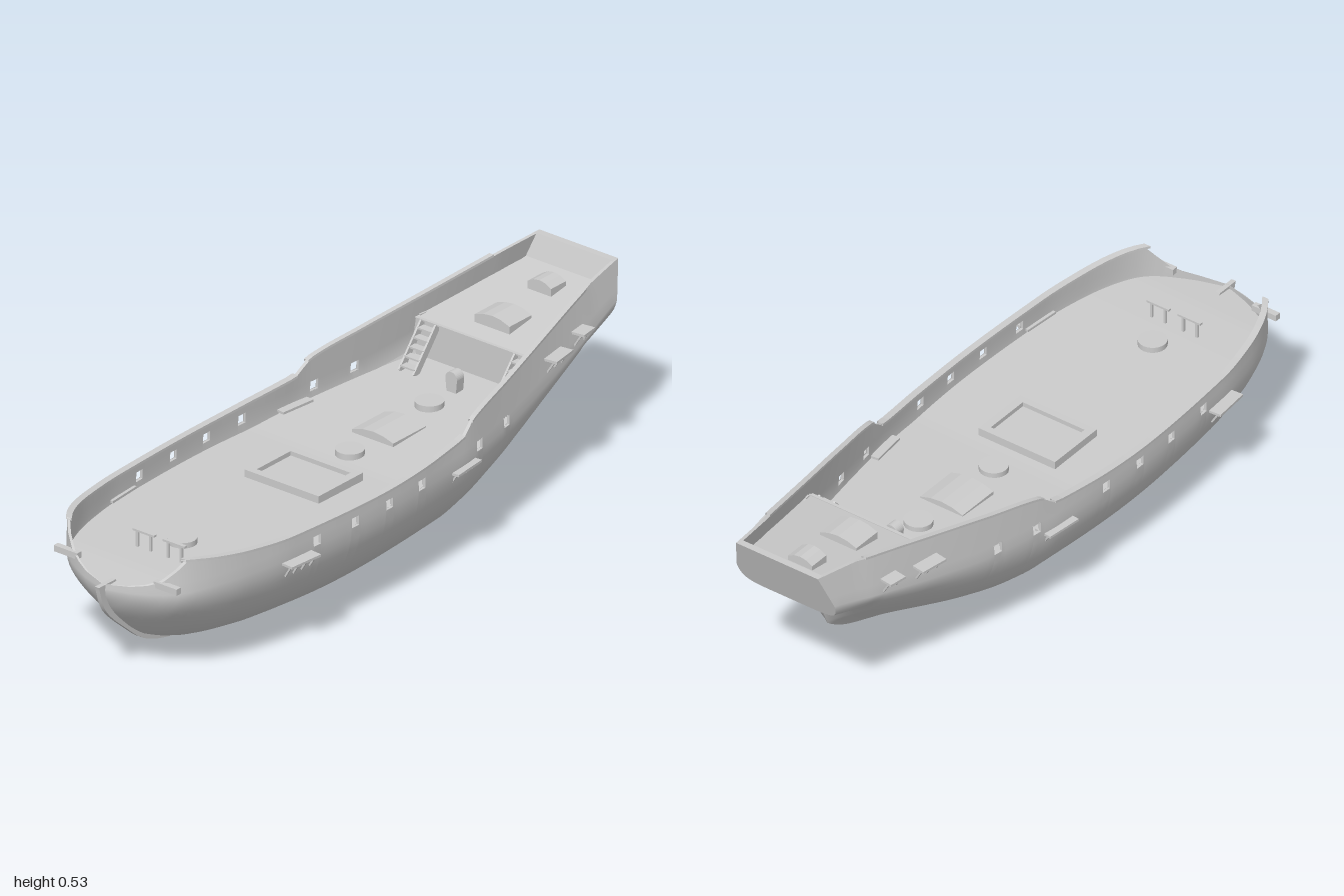
import * as THREE from 'three';

const grey = new THREE.MeshStandardMaterial({ color: 0xcccccc, side: THREE.DoubleSide });
const { lerp, clamp } = THREE.MathUtils;

// Hull lines, bow to stern: z, keel height, beam, height of beam, rail height
const lines = [
  [0.975, 0.245, 0.003, 0.266, 0.28], [0.96, 0.215, 0.062, 0.268, 0.285], [0.93, 0.175, 0.128, 0.27, 0.298],
  [0.9, 0.145, 0.18, 0.275, 0.328], [0.88, 0.125, 0.204, 0.28, 0.373], [0.8, 0.068, 0.25, 0.29, 0.367],
  [0.7, 0.034, 0.28, 0.293, 0.358], [0.55, 0.016, 0.304, 0.295, 0.35], [0.2, 0.002, 0.319, 0.295, 0.346],
  [-0.16, 0.01, 0.3, 0.298, 0.363], [-0.22, 0.016, 0.292, 0.301, 0.4], [-0.4, 0.05, 0.263, 0.312, 0.433],
  [-0.6, 0.11, 0.227, 0.345, 0.468], [-0.78, 0.2, 0.195, 0.385, 0.5], [-0.81, 0.28, 0.19, 0.392, 0.505],
  [-0.85, 0.322, 0.182, 0.402, 0.513], [-0.94, 0.372, 0.162, 0.43, 0.53],
];
// Section form: z, hollow, fullness
const forms = [[0.975, 1.1, 0.65], [0.8, 1.05, 0.75], [0.3, 1, 0.89], [-0.2, 1, 0.86], [-0.78, 1.6, 0.6], [-0.84, 1, 1], [-0.94, 0.65, 2]];

// Monotone smooth interpolation of one column of a table
function column(S, z, c) {
  const n = S.length;
  z = clamp(z, S[n - 1][0], S[0][0]);
  let i = 0;
  while (i < n - 2 && z < S[i + 1][0]) i++;
  const slope = j => (j < 0 || j > n - 2) ? 0 : (S[j + 1][c] - S[j][c]) / (S[j + 1][0] - S[j][0]);
  const tangent = (a, b) => (a * b > 0 ? 2 * a * b / (a + b) : 0);
  const d = slope(i), h = S[i + 1][0] - S[i][0], t = (z - S[i][0]) / h, t2 = t * t, t3 = t2 * t;
  const m0 = i === 0 ? d : tangent(slope(i - 1), d);
  const m1 = i === n - 2 ? d : tangent(d, slope(i + 1));
  return (2 * t3 - 3 * t2 + 1) * S[i][c] + (t3 - 2 * t2 + t) * h * m0 + (3 * t2 - 2 * t3) * S[i + 1][c] + (t3 - t2) * h * m1;
}
// The topsides lean inward more and more towards the stern
function section(z) {
  const [k, B, yB, yT] = [1, 2, 3, 4].map(c => column(lines, z, c));
  const [p, q] = [1, 2].map(c => column(forms, z, c));
  const T = Math.max(0.002, B - 0.003 - 0.024 * clamp(-z / 0.94, 0, 1));
  return { k, B, yB, T, yT, p, q, yP: yB + Math.min(0.03, (yT - yB) * 0.55) };
}
// Half width of the hull at a height
function hullX(z, y) {
  const s = section(z);
  if (y >= s.yB) return lerp(s.B, s.T, clamp((y - s.yB) / (s.yT - s.yB), 0, 1));
  const u = clamp((y - s.k) / (s.yB - s.k), 0, 1) ** (1 / s.q);
  return s.B * (1 - (1 - u) ** 2) ** (s.p / 2);
}
// Stern sections lean aft to meet the raked transom
const rake = (z, y) => z - clamp((-0.86 - z) / 0.08, 0, 1) * Math.max(0, y - 0.372) * 0.375;
const deckY = z => (z > 0 ? lerp(0.272, 0.279, Math.min(z / 0.7, 1)) - Math.max(0, z - 0.85) * 0.06 : lerp(0.272, 0.3, z / -0.58));
const afterY = z => lerp(0.41, 0.467, (-0.58 - z) / 0.38);

const ports = [0.46, 0.31, 0.17, 0.03, -0.24, -0.38];
const zList = Array.from({ length: 96 }, (_, i) => 0.974 - i * 1.914 / 95);
ports.forEach(p => zList.push(p - 0.015, p + 0.015));
zList.sort((a, b) => b - a);
const inPort = z => ports.some(p => Math.abs(z - p) < 0.015);

export function createModel() {
  const ship = new THREE.Group();
  ship.name = 'ship';

  function add(name, geo, x = 0, y = 0, z = 0, parent = ship) {
    const mesh = new THREE.Mesh(geo, grey);
    mesh.name = name;
    mesh.position.set(x, y, z);
    parent.add(mesh);
    return mesh;
  }
  const box = (name, w, h, d, x, y, z, parent) => add(name, new THREE.BoxGeometry(w, h, d), x, y, z, parent);

  // Surface through rows of [x, y, z] points
  function surface(name, rows, { flip = false, flat = false, skip = () => false } = {}) {
    const n = rows[0].length, index = [];
    for (let i = 0; i < rows.length - 1; i++) for (let j = 0; j < n - 1; j++) {
      if (skip(i, j)) continue;
      const a = i * n + j, b = a + 1, c = a + n, d = c + 1;
      index.push(...(flip ? [a, c, b, b, c, d] : [a, b, c, b, d, c]));
    }
    let geo = new THREE.BufferGeometry();
    geo.setAttribute('position', new THREE.Float32BufferAttribute(rows.flat(2), 3));
    geo.setIndex(index);
    if (flat) geo = geo.toNonIndexed();
    geo.computeVertexNormals();
    add(name, geo);
  }

  const N = 12;
  const outer = (z, side) => {
    const s = section(z), pts = [];
    for (let j = 0; j <= N; j++) {
      const t = j / N * Math.PI / 2;
      pts.push([s.B * Math.sin(t) ** s.p, s.k + (s.yB - s.k) * (1 - Math.cos(t)) ** s.q]);
    }
    for (const y of [s.yP, (s.yP + s.yT) / 2, s.yT]) pts.push([hullX(z, y), y]);
    return pts.map(([x, y]) => [side * x, y, rake(z, y)]);
  };
  const inner = (z, side) => {
    const s = section(z);
    return [Math.max(Math.min(deckY(z), s.yB), s.yB - 0.025), s.yB + 0.0005, s.yP, s.yT]
      .map(y => [side * Math.max(0.001, hullX(z, y) - 0.01), y, rake(z, y)]);
  };
  const edge = (z, side) => {
    const { T, yT } = section(z);
    return [T, Math.max(0.001, T - 0.01)].map(x => [side * x, yT, rake(z, yT)]);
  };
  const cap = (z, side) => {
    const { T, yT } = section(z), inset = z > -0.2 ? -0.016 : -0.011;
    return [[inset, -0.001], [0.004, -0.001], [0.004, 0.006], [inset, 0.006], [inset, -0.001]]
      .map(([dx, dy]) => [side * (T + dx), yT + dy, z]);
  };

  for (const side of [1, -1]) {
    const flip = side < 0;
    const hole = row => (i, j) => j === row && inPort((zList[i] + zList[i + 1]) / 2);
    surface('hullSide', zList.map(z => outer(z, side)), { flip: !flip, skip: hole(N) });
    surface('bulwarkInside', zList.map(z => inner(z, side)), { flip, skip: hole(1) });
    surface('bulwarkTop', zList.map(z => edge(z, side)), { flip: !flip });
    for (const [z0, z1] of [[0.88, -0.17], [-0.21, -0.83]]) {
      const rows = Array.from({ length: 41 }, (_, i) => cap(lerp(z0, z1, i / 40), side));
      surface('rail', rows, { flip: !flip, flat: true });
    }

    // Gun port linings
    for (const z of ports) {
      const { yB, yP } = section(z), h = (yP - yB) / 2;
      const rect = (s, w, e) => s.moveTo(-w, -e).lineTo(w, -e).lineTo(w, e).lineTo(-w, e).closePath();
      const shape = rect(new THREE.Shape(), 0.0158, h + 0.0008);
      shape.holes.push(rect(new THREE.Path(), 0.0148, h - 0.0002));
      const geo = new THREE.ExtrudeGeometry(shape, { depth: 0.008, bevelEnabled: false }).translate(0, 0, -0.004);
      const lining = add('gunPort', geo, side * (hullX(z, yB + h) - 0.005), yB + h, z);
      lining.rotation.y = Math.PI / 2 + side * Math.atan2(hullX(z + 0.015, yB + h) - hullX(z - 0.015, yB + h), 0.03);
    }

    // Channels with their sloping stays: z, y, length, stays, offset
    for (const [z, y, len, count, out] of [[0.54, 0.287, 0.11, 4, 0.008], [-0.16, 0.287, 0.11, 4, -0.008], [-0.635, 0.412, 0.085, 3, 0.012], [-0.765, 0.428, 0.055, 2, 0.012]]) {
      const group = new THREE.Group();
      group.name = 'channel';
      group.position.set(side * (hullX(z, y) + out), y, z);
      group.rotation.y = side * Math.atan2(hullX(z + len / 2, y) - hullX(z - len / 2, y), len);
      ship.add(group);
      box('channelBoard', 0.055, 0.007, len, 0, 0, 0, group);
      for (let i = 0; i < count; i++) {
        const stay = box('channelStay', 0.005, 0.045, 0.005, side * 0.006, -0.018, lerp(-0.42, 0.42, i / (count - 1)) * len, group);
        stay.rotation.z = -side * 0.55;
      }
    }

    // Cathead beams at the bow
    box('cathead', 0.08, 0.018, 0.018, side * 0.17, 0.301, 0.915);

    // Pin rails on the foredeck
    box('pinRail', 0.074, 0.006, 0.01, side * 0.052, 0.327, 0.74);
    for (const x of [0.03, 0.075]) box('pinRailPost', 0.007, 0.05, 0.007, side * x, 0.301, 0.74);

    // Ladders to the after deck
    const ladder = new THREE.Group();
    ladder.name = 'ladder';
    ladder.position.set(side * 0.16, 0.35, -0.53);
    ship.add(ladder);
    for (const x of [-0.025, 0.025]) box('ladderSide', 0.006, 0.145, 0.022, x, 0, 0, ladder).rotation.x = -0.69;
    for (let i = 0; i < 5; i++) box('ladderStep', 0.05, 0.005, 0.024, 0, -0.04 + i * 0.021, 0.036 - i * 0.0176, ladder);
  }

  // Decks
  const deckRow = (z, y) => {
    const x = Math.max(0.001, hullX(z, y) - 0.008);
    return [-1, 0, 1].map(f => [f * x, y, z]);
  };
  const strip = (z0, z1, n, y) => Array.from({ length: n + 1 }, (_, i) => {
    const z = lerp(z0, z1, i / n);
    return deckRow(z, y(z));
  });
  surface('mainDeck', strip(0.97, -0.585, 60, deckY));
  surface('afterDeck', strip(-0.575, -0.965, 16, afterY));
  surface('bulkhead', [0.41, 0.35, 0.295].map(y => deckRow(-0.58, y)), { flip: true });
  box('deckBeam', 0.41, 0.004, 0.01, 0, 0.41, -0.577);

  // Transom: outer face, inner face and top edge
  const rim = outer(-0.94, 1);
  const across = dz => rim.map(([x, y, z]) => [[-x, y, z + dz], [x, y, z + dz]]);
  surface('transom', across(0), { flip: true, flat: true });
  surface('transomInside', across(0.02).slice(N), { flat: true });
  surface('transomTop', [across(0.02).at(-1), across(0).at(-1)]);

  // Stem post following the curve of the bow
  const stem = new THREE.Shape();
  stem.moveTo(0.93, 0.28).lineTo(1, 0.28);
  stem.splineThru([[0.97, 0.2], [0.89, 0.122], [0.8, 0.056], [0.67, 0.022], [0.46, 0.005], [0.1, 0]].map(p => new THREE.Vector2(...p)));
  stem.lineTo(0.1, 0.012).lineTo(0.46, 0.025).lineTo(0.67, 0.045).lineTo(0.8, 0.09).lineTo(0.89, 0.17);
  const stemGeo = new THREE.ExtrudeGeometry(stem, { depth: 0.014, bevelEnabled: false, curveSegments: 24 });
  add('stemPost', stemGeo.translate(0, 0, -0.007)).rotation.y = -Math.PI / 2;

  // Mast collars
  for (const z of [0.645, -0.05, -0.38]) add('mastCollar', new THREE.CylinderGeometry(0.04, 0.04, 0.02, 20), 0, deckY(z) + 0.006, z);

  // Cargo hatch coaming with a recessed cover
  for (const s of [1, -1]) {
    box('hatchCoaming', 0.254, 0.03, 0.022, 0, 0.281, 0.142 + s * 0.081);
    box('hatchCoaming', 0.025, 0.03, 0.14, s * 0.1145, 0.281, 0.142);
  }
  box('hatchCover', 0.21, 0.016, 0.15, 0, 0.275, 0.142);

  // Hatches with an arched top: half width, depth, z, base
  for (const [w, d, z, y] of [[0.07, 0.135, -0.212, 0.259], [0.06, 0.092, -0.685, 0.411], [0.04, 0.062, -0.867, 0.441]]) {
    const s = new THREE.Shape();
    s.moveTo(-w, 0).lineTo(w, 0).lineTo(w, 0.03).quadraticCurveTo(0, 0.058, -w, 0.03).closePath();
    add('archedHatch', new THREE.ExtrudeGeometry(s, { depth: d, bevelEnabled: false, curveSegments: 4 }), 0, y, z - d / 2);
  }

  // Compass stand with a rounded head
  const stand = new THREE.Shape();
  stand.moveTo(-0.016, 0).lineTo(0.016, 0).lineTo(0.02, 0.04).absarc(0, 0.04, 0.02, 0, Math.PI).closePath();
  add('compassStand', new THREE.ExtrudeGeometry(stand, { depth: 0.03, bevelEnabled: false, curveSegments: 8 }), 0, 0.294, -0.5);
  return ship;
}
